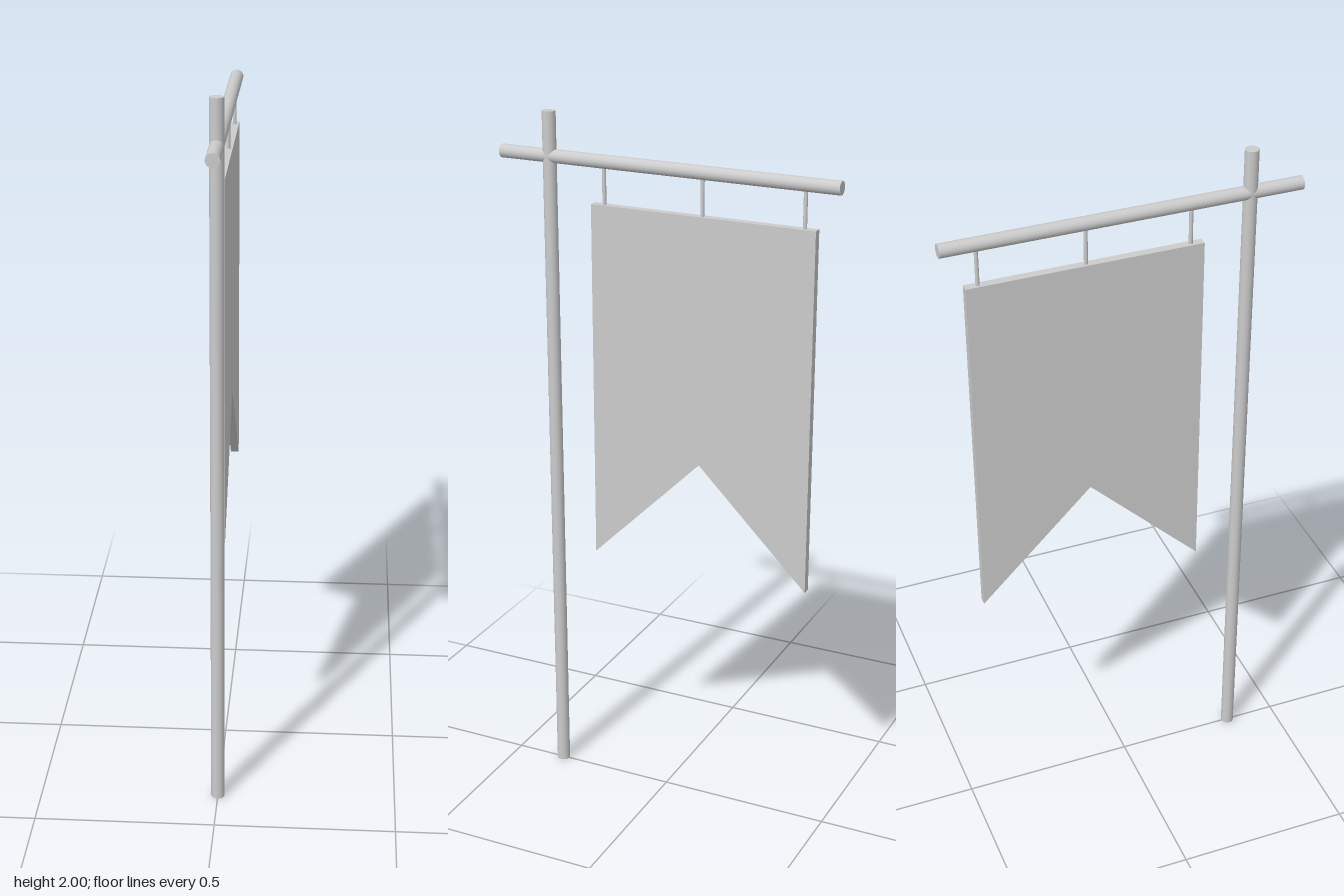
import * as THREE from 'three';

const material = new THREE.MeshStandardMaterial({ color: 0xcccccc });

function rod(name, radius, length, sides = 16) {
  const mesh = new THREE.Mesh(new THREE.CylinderGeometry(radius, radius, length, sides), material);
  mesh.name = name;
  return mesh;
}

export function createModel() {
  const group = new THREE.Group();
  group.name = 'hangingBanner';

  // Upright pole
  const pole = rod('pole', 0.019, 2);
  pole.position.set(0, 1, 0.35);
  group.add(pole);

  // Horizontal crossbar, running front to back
  const crossbar = rod('crossbar', 0.019, 0.99);
  crossbar.rotation.x = Math.PI / 2;
  crossbar.position.set(0, 1.877, 0.002);
  group.add(crossbar);

  // Swallowtail cloth, drawn in the z-y plane and extruded through x
  const mid = -0.105, half = 0.325, thickness = 0.024;
  const outline = new THREE.Shape([
    [-half, 1.76], [-half, 0.73], [0, 1.055], [half, 0.73], [half, 1.76],
  ].map(([u, y]) => new THREE.Vector2(u, y)));
  const clothGeometry = new THREE.ExtrudeGeometry(outline, { depth: thickness, bevelEnabled: false });
  clothGeometry.translate(0, 0, -thickness / 2).rotateY(Math.PI / 2);
  const cloth = new THREE.Mesh(clothGeometry, material);
  cloth.name = 'banner';
  cloth.position.z = mid;
  group.add(cloth);

  // Three thin hangers between crossbar and cloth
  for (const offset of [-0.29, 0, 0.29]) {
    const hanger = rod('hanger', 0.0055, 0.12, 12);
    hanger.position.set(0, 1.81, mid + offset);
    group.add(hanger);
  }

  return group;
}
